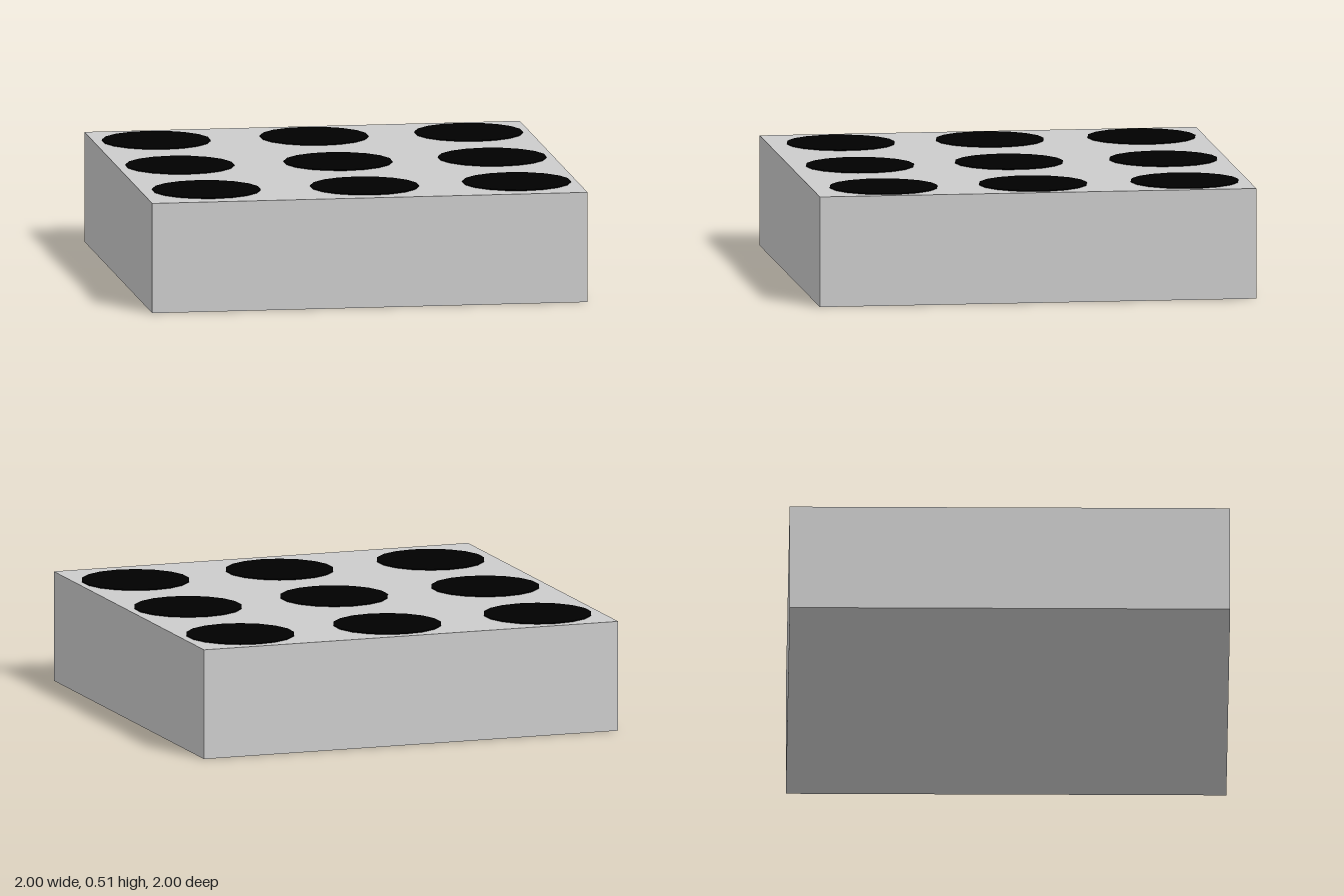
import * as THREE from 'three';

export function createModel() {
  const group = new THREE.Group();
  const grey = new THREE.MeshStandardMaterial({ color: 0xcccccc, flatShading: true });
  const black = new THREE.MeshStandardMaterial({ color: 0x000000, flatShading: true });

  // Solid square block
  const height = 0.505;
  const block = new THREE.Mesh(new THREE.BoxGeometry(2, height, 2), grey);
  block.name = 'block';
  block.position.y = height / 2;
  group.add(block);

  // Nine thin round spots, placed slightly unevenly on the top face
  const centres = [
    [-0.715, -0.71], [0.01, -0.71], [0.72, -0.71],
    [-0.715, -0.015], [0.01, -0.003], [0.72, -0.015],
    [-0.7, 0.67], [0.025, 0.682], [0.725, 0.67],
  ];
  const thickness = 0.005;
  const spotGeometry = new THREE.CylinderGeometry(0.247, 0.247, thickness, 18);
  centres.forEach(([x, z], i) => {
    const spot = new THREE.Mesh(spotGeometry, black);
    spot.name = `spot${i + 1}`;
    spot.position.set(x, height + thickness / 2, z);
    group.add(spot);
  });

  return group;
}
